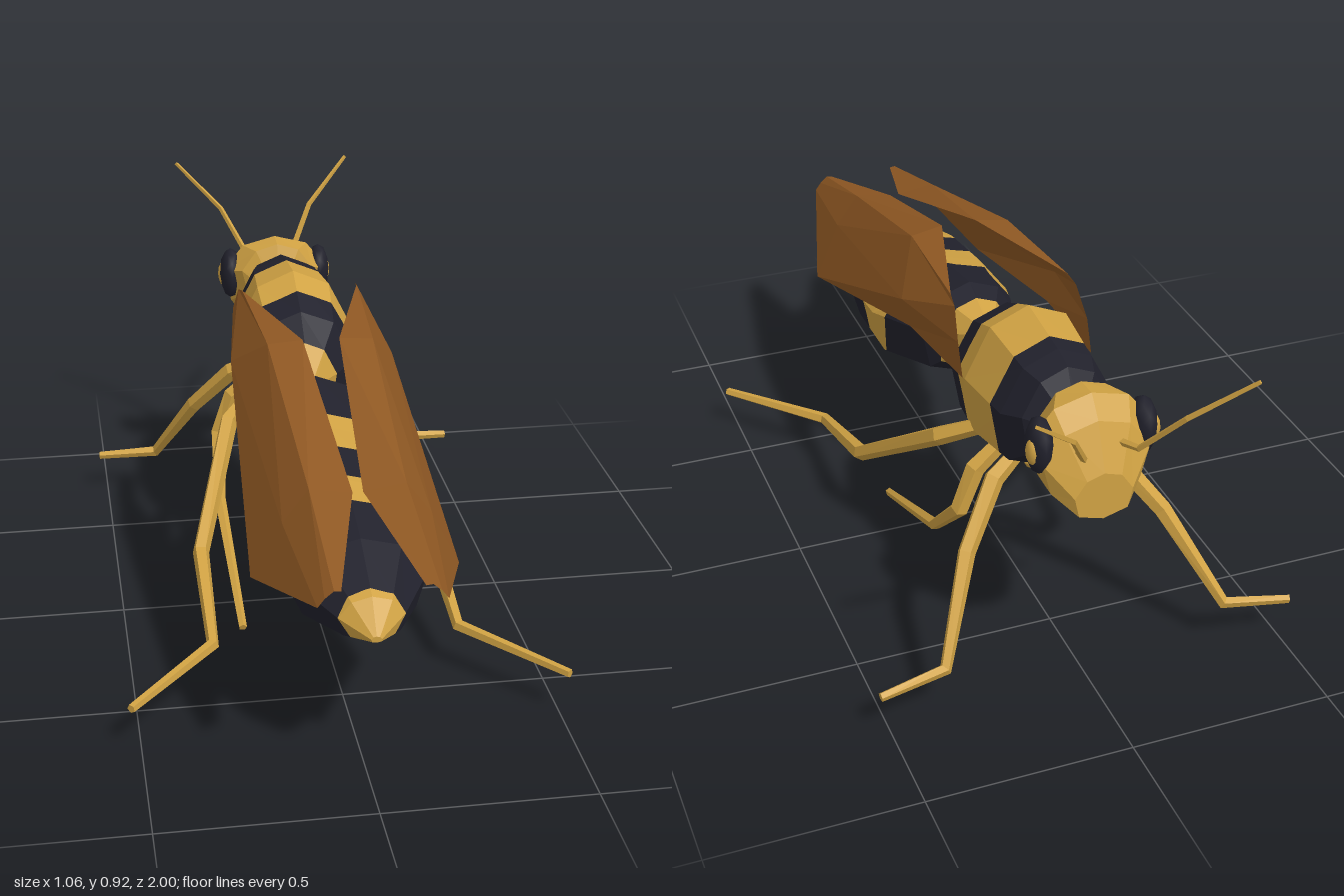
import * as THREE from 'three';

const mat = (name, color, side = THREE.FrontSide) => {
  const m = new THREE.MeshStandardMaterial({ color, side });
  m.name = name;
  return m;
};

// Triangles joining a row of cross-sections (each an array of Vector3)
function skin(rings, closed = true) {
  const tris = [];
  for (let i = 0; i + 1 < rings.length; i++) {
    const p = rings[i], q = rings[i + 1], n = p.length;
    for (let j = 0; j < (closed ? n : n - 1); j++) {
      const k = (j + 1) % n;
      tris.push([p[j], q[j], q[k]], [p[j], q[k], p[k]]);
    }
  }
  return tris;
}

// Unshared corners give flat facets
function mesh(name, tris, material) {
  const g = new THREE.BufferGeometry().setFromPoints(tris.flat());
  g.computeVertexNormals();
  const m = new THREE.Mesh(g, material);
  m.name = name;
  return m;
}

// Keep the part of each triangle where lo < field < hi
function band(tris, field, lo, hi) {
  const cut = (poly, f) => {
    const out = [];
    poly.forEach((a, i) => {
      const b = poly[(i + 1) % poly.length], fa = f(a), fb = f(b);
      if (fa >= 0) out.push(a);
      if (fa * fb < 0) out.push(a.clone().lerp(b, fa / (fa - fb)));
    });
    return out;
  };
  const result = [];
  for (const t of tris) {
    const poly = cut(cut(t, v => field(v) - lo), v => hi - field(v));
    for (let i = 1; i + 1 < poly.length; i++) result.push([poly[0], poly[i], poly[i + 1]]);
  }
  return result;
}

// Eight-sided body along z; each station is [z, half width, top y, bottom y]
const SECTION = [[0, 1], [0.6, 0.78], [1, 0.1], [0.84, -0.72], [0, -1], [-0.84, -0.72], [-1, 0.1], [-0.6, 0.78]];
function body(stations) {
  const ring = ([z, rx, top, bottom]) => SECTION.map(([x, y]) =>
    new THREE.Vector3(x * rx, (top + bottom) / 2 + y * (top - bottom) / 2, z));
  const close = ([z, , t, b]) => ring([z, 0, (t + b) / 2, (t + b) / 2]);
  return skin([close(stations[0]), ...stations.map(ring), close(stations[stations.length - 1])]);
}

// Tapered jointed limb along points
function limb(points, radii, sides) {
  const p = points.map(a => new THREE.Vector3(...a));
  const s = new THREE.Vector3();
  const rings = p.map((c, i) => {
    const t = new THREE.Vector3();
    if (i > 0) t.add(c.clone().sub(p[i - 1]).normalize());
    if (i < p.length - 1) t.add(p[i + 1].clone().sub(c).normalize());
    t.normalize();
    if (i === 0) s.set(0, 0.3, 1).cross(t);
    s.addScaledVector(t, -s.dot(t)).normalize();
    const n = t.clone().cross(s);
    return Array.from({ length: sides }, (_, k) => {
      const a = k / sides * Math.PI * 2;
      return c.clone().addScaledVector(n, Math.cos(a) * radii[i]).addScaledVector(s, Math.sin(a) * radii[i]);
    });
  });
  const cap = i => Array(sides).fill(p[i]);
  return skin([cap(0), ...rings, cap(p.length - 1)]);
}

export function createModel() {
  const root = new THREE.Group();
  root.name = 'wasp';
  const gold = mat('gold', 0xd0a243);
  const dark = mat('dark', 0x21212c);
  const brown = mat('wingBrown', 0x8f5823, THREE.DoubleSide);

  // Striped body part: limits mark where the colours alternate
  const striped = (name, tris, field, limits, first) => {
    const g = new THREE.Group();
    g.name = name;
    const edges = [-9, ...limits, 9];
    for (let i = 0; i + 1 < edges.length; i++) {
      const m = (i % 2 === 0) === (first === gold) ? gold : dark;
      g.add(mesh(name + 'Band', band(tris, field, edges[i], edges[i + 1]), m));
    }
    root.add(g);
  };

  striped('abdomen', body([
    [-0.07, 0.02, 0.605, 0.56], [0.07, 0.13, 0.665, 0.4], [0.3, 0.19, 0.625, 0.33],
    [0.52, 0.19, 0.59, 0.33], [0.72, 0.155, 0.54, 0.33], [0.87, 0.075, 0.475, 0.37], [0.93, 0.012, 0.41, 0.395],
  ]), v => v.z + 0.4 * Math.min(0, v.y - 0.5), [0.02, 0.24, 0.38, 0.5, 0.59, 0.84], gold);

  striped('thorax', body([
    [-0.62, 0.035, 0.67, 0.6], [-0.57, 0.11, 0.77, 0.52], [-0.51, 0.14, 0.785, 0.465], [-0.33, 0.16, 0.805, 0.43],
    [-0.19, 0.145, 0.74, 0.43], [-0.12, 0.085, 0.68, 0.48], [-0.06, 0.02, 0.6, 0.56],
  ]), v => v.z, [-0.46, -0.26, -0.12], dark);

  // Head, with the face tilted down
  root.add(mesh('head', body([
    [-0.79, 0.07, 0.62, 0.5], [-0.745, 0.13, 0.73, 0.535], [-0.705, 0.15, 0.78, 0.565],
    [-0.645, 0.1, 0.775, 0.61], [-0.615, 0.04, 0.69, 0.61],
  ]), gold));

  const legs = {
    frontLeg: [[0.08, 0.5, -0.47], [0.15, 0.46, -0.5], [0.25, 0.33, -0.585], [0.355, 0.125, -0.73], [0.52, 0.11, -0.755]],
    middleLeg: [[0.08, 0.5, -0.4], [0.16, 0.43, -0.4], [0.2, 0.32, -0.4], [0.215, 0.185, -0.26], [0.203, 0.012, 0.155]],
    hindLeg: [[0.08, 0.5, -0.33], [0.19, 0.425, -0.23], [0.3, 0.205, 0.085], [0.305, 0.118, 0.41], [0.52, 0.11, 0.66]],
  };
  // Wing strips from root to tip, each running inner edge to outer edge
  const wing = [
    [[0.15, 0.8, -0.21], [0.155, 0.79, -0.25], [0.165, 0.72, -0.3], [0.165, 0.64, -0.33]],
    [[0.045, 0.795, 0.15], [0.13, 0.785, 0.14], [0.205, 0.69, 0], [0.185, 0.61, 0]],
    [[0.012, 0.635, 0.68], [0.11, 0.65, 0.68], [0.17, 0.57, 0.68], [0.24, 0.43, 0.66]],
    [[0.09, 0.565, 1], [0.105, 0.567, 1], [0.125, 0.55, 1], [0.14, 0.53, 1]],
  ];

  for (const [label, s] of [['left', 1], ['right', -1]]) {
    const flip = pts => pts.map(([x, y, z]) => [x * s, y, z]);
    for (const [name, pts] of Object.entries(legs))
      root.add(mesh(`${label} ${name}`, limb(flip(pts), [0.02, 0.025, 0.022, 0.016, 0.011], 5), gold));

    root.add(mesh(`${label} antenna`, limb(
      flip([[0.05, 0.67, -0.75], [0.065, 0.69, -0.82], [0.13, 0.805, -0.91], [0.25, 0.92, -0.997]]),
      [0.009, 0.008, 0.007, 0.005], 4), gold));

    root.add(mesh(`${label} wing`, skin(wing.map(row =>
      flip(row).map(a => new THREE.Vector3(...a))), false), brown));

    // Dark eye with a gold patch on its outer face
    const eye = (name, radius, pos, scale, material) => {
      const m = new THREE.Mesh(new THREE.IcosahedronGeometry(radius, 1), material);
      m.name = `${label} ${name}`;
      m.position.set(pos[0] * s, pos[1], pos[2]);
      m.scale.set(...scale);
      root.add(m);
    };
    eye('eye', 0.07, [0.125, 0.675, -0.71], [0.45, 1.05, 0.65], dark);
    eye('eyePatch', 0.035, [0.145, 0.67, -0.722], [0.45, 1, 0.6], gold);
  }
  return root;
}
